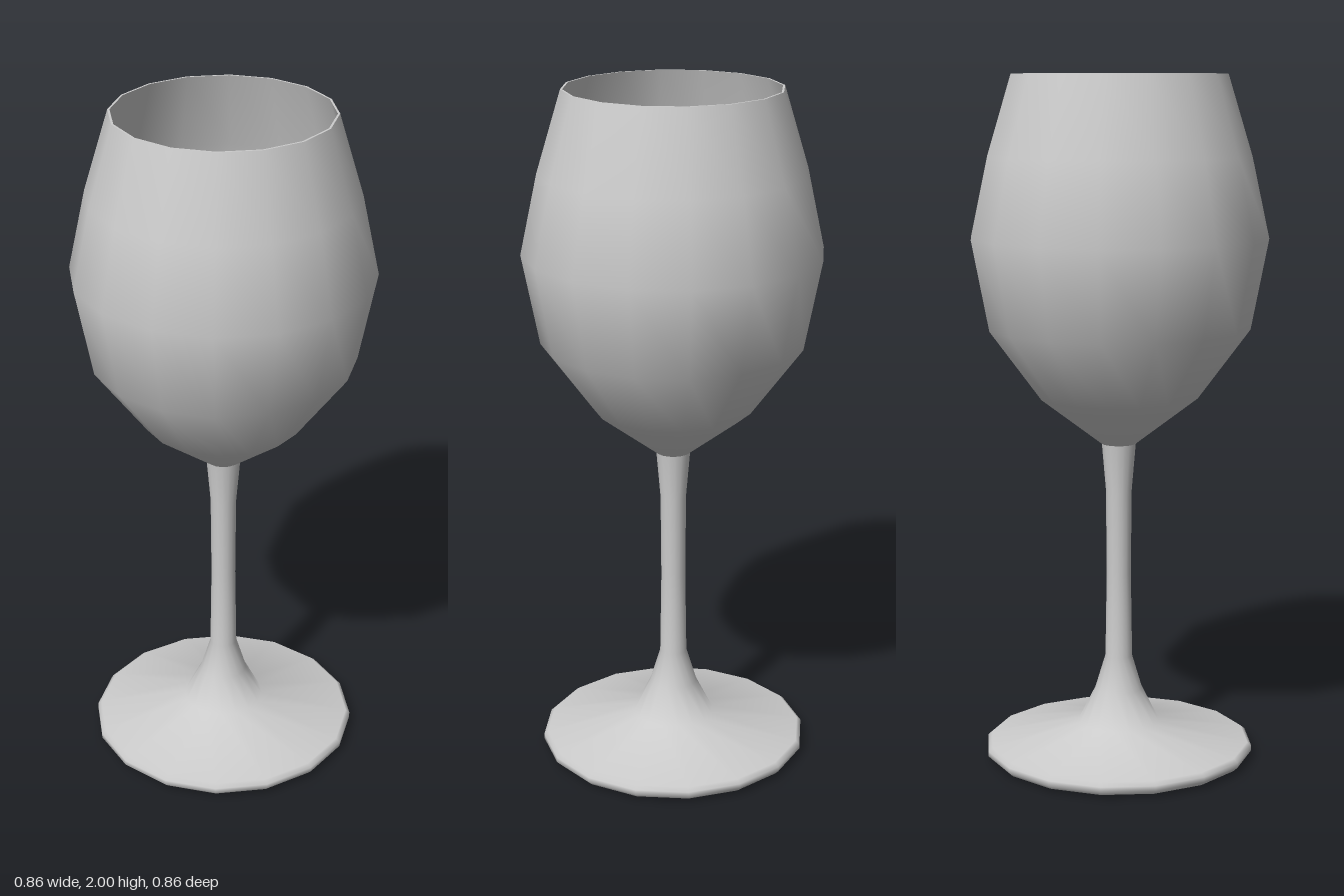
import * as THREE from 'three';

const SIDES = 16;

export function createModel() {
  const group = new THREE.Group();
  const material = new THREE.MeshStandardMaterial({ color: 0xcccccc });

  // Revolve [radius, height] points; outward surfaces run from bottom to top
  const revolve = (name, profile) => {
    const points = profile.map(([r, y]) => new THREE.Vector2(r, y));
    const mesh = new THREE.Mesh(new THREE.LatheGeometry(points, SIDES), material);
    mesh.name = name;
    group.add(mesh);
  };

  // Foot: flat underside, then rounded edge flaring up into the stem
  revolve('footUnderside', [[0, 0], [0.385, 0.008]]);
  revolve('footAndStem', [
    [0.385, 0.008], [0.397, 0.02], [0.397, 0.035], [0.385, 0.045],
    [0.12, 0.1], [0.07, 0.2], [0.04, 0.3], [0.036, 0.55], [0.038, 0.8], [0.05, 0.94],
  ]);

  // Bowl: outer wall, thin rim and inner wall closing at the centre
  const wall = [[0.05, 0.94], [0.23, 1.077], [0.38, 1.28], [0.43, 1.54], [0.38, 1.77], [0.31, 2]];
  const inner = wall.slice(1).map(([r, y]) => [r - 0.006, y === 2 ? y : y + 0.003]).reverse();
  revolve('bowlOuter', wall);
  revolve('bowlRim', [wall[wall.length - 1], inner[0]]);
  revolve('bowlInner', [...inner, [0.045, 0.95], [0, 0.945]]);

  return group;
}
